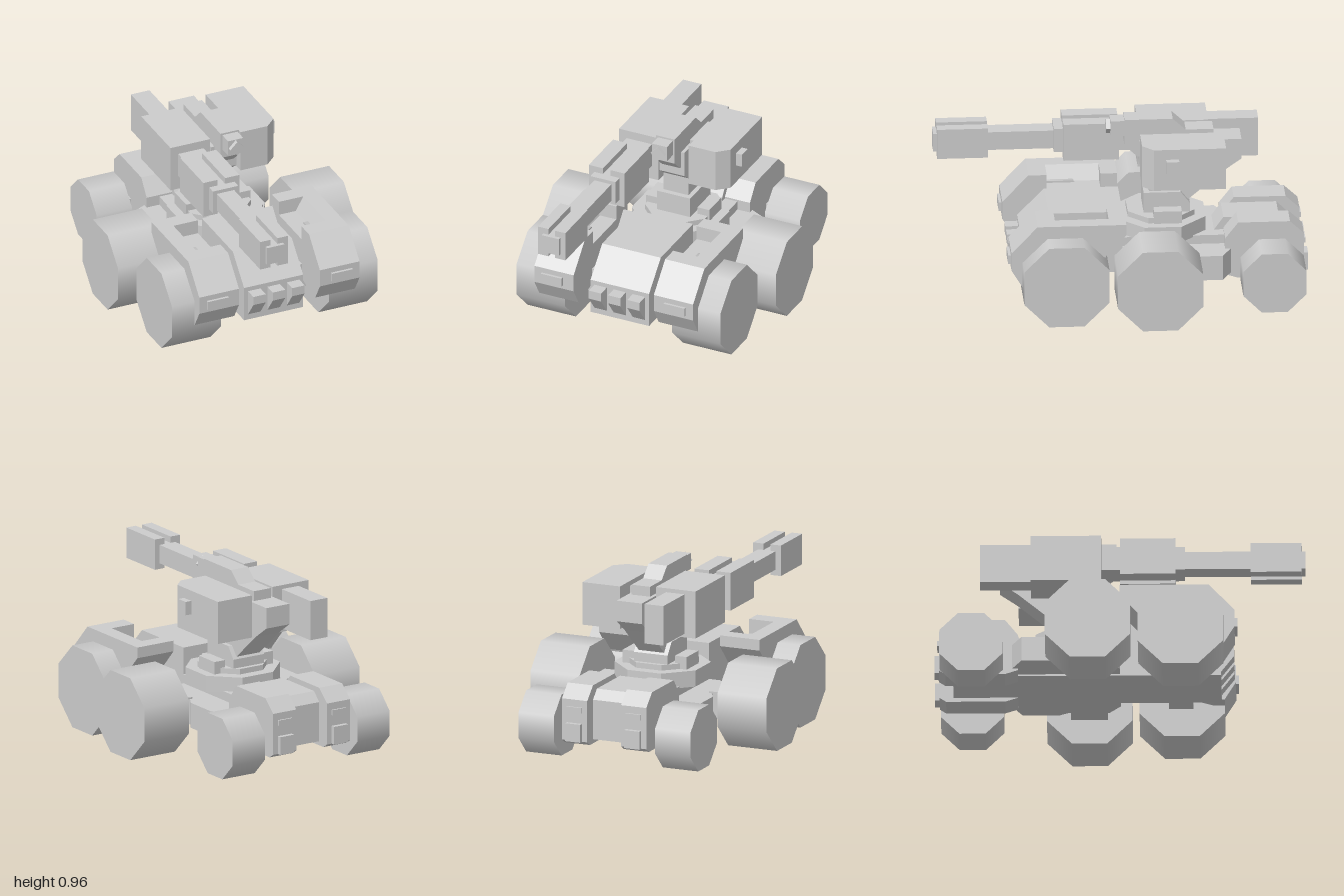
import * as THREE from 'three';

const mat = new THREE.MeshStandardMaterial({ color: 0xcccccc });

export function createModel() {
  const root = new THREE.Group();

  const add = (name, geo) => {
    const m = new THREE.Mesh(geo, mat);
    m.name = name;
    root.add(m);
    return m;
  };
  const shape = pts => new THREE.Shape(pts.map(p => new THREE.Vector2(p[0], p[1])));

  // Box given by its limits on each axis
  const box = (name, x0, x1, y0, y1, z0, z1) =>
    add(name, new THREE.BoxGeometry(Math.abs(x1 - x0), Math.abs(y1 - y0), Math.abs(z1 - z0))
      .translate((x0 + x1) / 2, (y0 + y1) / 2, (z0 + z1) / 2));

  // Side outline of [z, y] points, extruded across x
  const side = (name, x0, x1, pts) =>
    add(name, new THREE.ExtrudeGeometry(shape(pts), { depth: Math.abs(x1 - x0), bevelEnabled: false })
      .rotateY(-Math.PI / 2).translate(Math.max(x0, x1), 0, 0));

  // Plan outline of [x, z] points, extruded up y
  const plan = (name, y0, y1, pts) =>
    add(name, new THREE.ExtrudeGeometry(shape(pts.map(([x, z]) => [x, -z])), { depth: y1 - y0, bevelEnabled: false })
      .rotateX(-Math.PI / 2).translate(0, y0, 0));

  // Octagonal wheel with flat underside; half is the half height
  const wheel = (name, x0, x1, y, z, half) => {
    const r = half / Math.cos(Math.PI / 8);
    add(name, new THREE.CylinderGeometry(r, r, Math.abs(x1 - x0), 8)
      .rotateY(Math.PI / 8).rotateZ(Math.PI / 2).translate((x0 + x1) / 2, y, z));
  };

  // Hull
  box('lowerHull', -0.175, 0.175, 0.13, 0.33, -0.6, 0.1);
  side('frontHull', -0.175, 0.175, [[0, 0.13], [0.545, 0.13], [0.545, 0.33], [0.4, 0.48], [0, 0.48]]);
  side('rearHull', -0.1, 0.1, [[-0.5, 0.13], [-0.5, 0.33], [-0.55, 0.4], [-0.85, 0.4], [-0.9, 0.35], [-0.9, 0.13]]);
  for (const x of [-0.115, 0, 0.115]) {
    side('frontIntake', x - 0.037, x + 0.037,
      [[0.54, 0.155], [0.615, 0.255], [0.615, 0.305], [0.54, 0.305]]);
  }

  for (const s of [-1, 1]) {
    // Wheels and axles
    wheel('frontWheel', s * 0.32, s * 0.61, 0.23, 0.33, 0.23);
    wheel('middleWheel', s * 0.41, s * 0.7, 0.23, -0.17, 0.23);
    wheel('rearWheel', s * 0.3, s * 0.51, 0.18, -0.8, 0.17);
    box('frontAxle', s * 0.16, s * 0.33, 0.16, 0.3, 0.26, 0.39);
    box('middleAxle', s * 0.3, s * 0.42, 0.14, 0.29, -0.27, -0.07);
    box('rearAxle', s * 0.24, s * 0.31, 0.13, 0.23, -0.85, -0.75);

    // Side sponson carrying the middle axle
    plan('sponson', 0.14, 0.28, [[0.17, -0.6], [0.25, -0.58], [0.35, -0.53], [0.35, -0.33],
      [0.32, -0.28], [0.32, -0.06], [0.24, 0], [0.17, 0]].map(([x, z]) => [s * x, z]));

    // Front fender with a tray open to the inner side
    const under = [[0, 0.47], [0.11, 0.35], [0.14, 0.28], [0.5, 0.18], [0.56, 0.18], [0.62, 0.28], [0.62, 0.38], [0.48, 0.53]];
    side('fenderOuter', s * 0.385, s * 0.475, [[0, 0.53], ...under]);
    side('fenderInner', s * 0.24, s * 0.385,
      [[0, 0.53], ...under, [0.38, 0.53], [0.38, 0.45], [0.09, 0.45], [0.09, 0.53]]);
    const slope = add('traySlope', new THREE.ExtrudeGeometry(
      shape([[s * 0.34, 0.45], [s * 0.385, 0.45], [s * 0.385, 0.53]]), { depth: 0.29, bevelEnabled: false }));
    slope.geometry.translate(0, 0, 0.09);
    box('fenderLamp', s * 0.305, s * 0.43, 0.3, 0.35, 0.6, 0.635);

    // Rear pod with lamp and lower box
    side('rearPod', s * 0.1, s * 0.25, [[-0.55, 0.13], [-0.55, 0.34], [-0.62, 0.43], [-0.9, 0.43],
      [-0.975, 0.36], [-0.975, 0.13], [-0.94, 0.107], [-0.62, 0.107]]);
    box('rearLamp', s * 0.13, s * 0.22, 0.29, 0.32, -0.985, -0.96);
    box('rearLowerBox', s * 0.13, s * 0.22, 0.13, 0.23, -1, -0.96);
    box('ringBlock', s * 0.12, s * 0.19, 0.4, 0.48, -0.32, -0.17);
  }

  // Turret ring and base
  const ring = (k, c = -0.215) => [[0.1, 0.24], [0.24, 0.1], [0.24, -0.1], [0.1, -0.24],
    [-0.1, -0.24], [-0.24, -0.1], [-0.24, 0.1], [-0.1, 0.24]].map(([x, z]) => [x * k, z * k + c]);
  plan('turretRing', 0.32, 0.41, ring(1));
  plan('turretRingStep', 0.4, 0.44, ring(0.75));
  side('turretBase', -0.1, 0.1, [[-0.12, 0.42], [-0.12, 0.555], [-0.32, 0.555], [-0.37, 0.49], [-0.37, 0.42]]);

  // Neck and sensor head
  side('neck', -0.075, 0.075, [[-0.15, 0.5], [-0.15, 0.66], [-0.1, 0.7], [-0.1, 0.845], [-0.65, 0.845],
    [-0.65, 0.73], [-0.55, 0.66], [-0.36, 0.5]]);
  side('head', -0.055, 0.055, [[-0.02, 0.965], [-0.28, 0.965], [-0.35, 0.9], [-0.5, 0.9], [-0.5, 0.75],
    [-0.09, 0.75], [-0.02, 0.815]]);
  box('sensor', -0.045, 0.045, 0.867, 0.955, -0.05, 0.055);
  add('sensorLens', new THREE.CylinderGeometry(0.042, 0.042, 0.03, 4).toNonIndexed()
    .rotateX(Math.PI / 2).translate(0, 0.91, 0.063)).geometry.computeVertexNormals();

  // Launcher pod on the left
  plan('launcherPod', 0.66, 0.897, [[0.1, -0.1], [0.26, -0.1], [0.323, -0.16], [0.323, -0.55], [0.1, -0.55]]);
  box('launcherMount', 0.06, 0.11, 0.74, 0.87, -0.42, -0.2);
  box('launcherLamp', 0.32, 0.36, 0.765, 0.84, -0.295, -0.225);

  // Cannon on the right
  box('cannonReceiver', -0.315, -0.08, 0.635, 0.897, -0.48, -0.1);
  box('cannonRear', -0.25, -0.14, 0.655, 0.875, -0.755, -0.47);
  box('cannonCore', -0.27, -0.12, 0.715, 0.85, -0.11, 0.35);
  box('cannonBarrel', -0.247, -0.145, 0.727, 0.83, 0.34, 1);
  for (const s of [-1, 1]) {
    const x = -0.197;
    box('cannonShroud', x + s * 0.022, x + s * 0.107, 0.675, 0.885, 0, 0.3);
    box('muzzlePlate', x + s * 0.02, x + s * 0.082, 0.695, 0.865, 0.705, 0.98);
  }
  return root;
}
